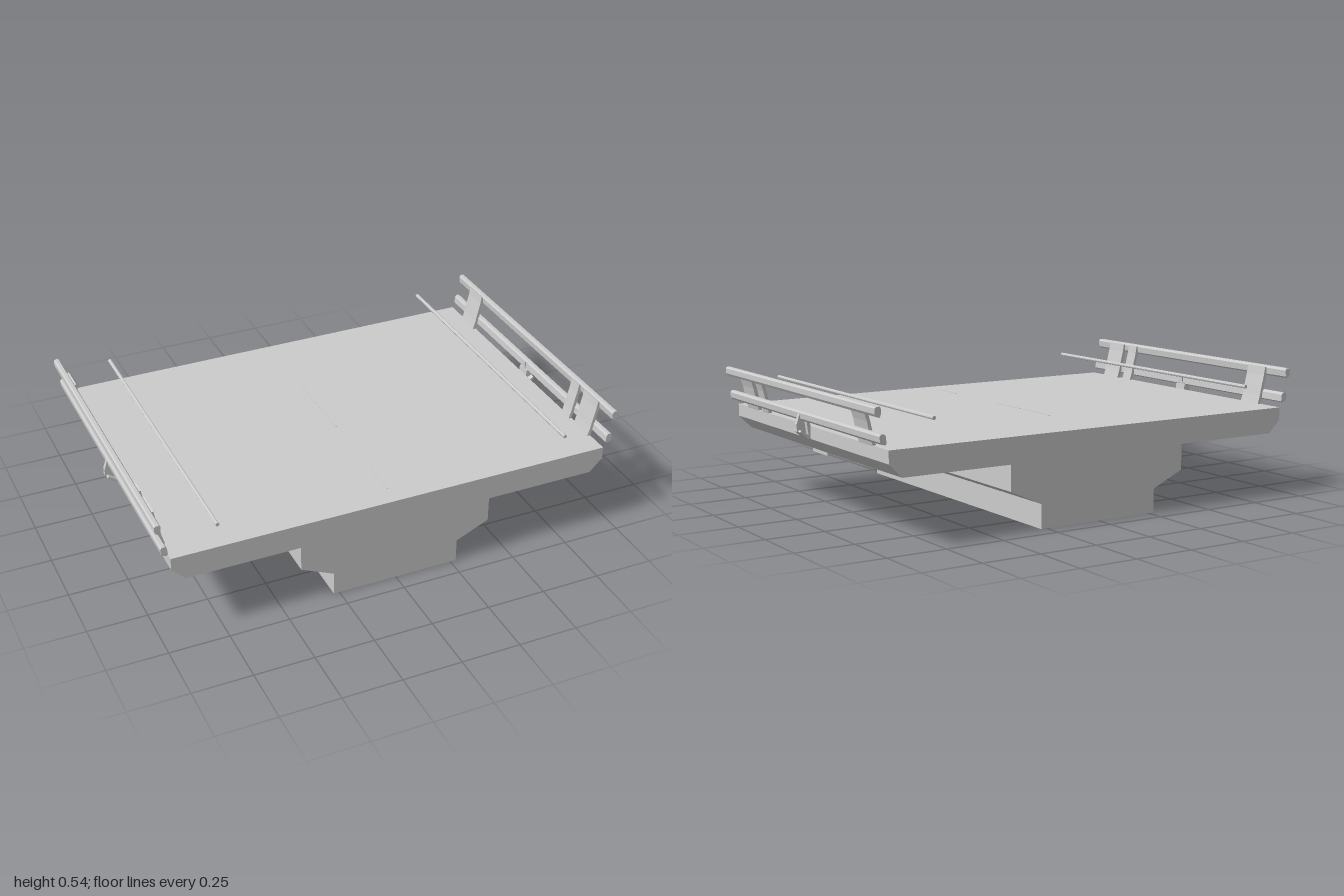
import * as THREE from 'three';

const LEN = 1.344;

export function createModel() {
  const model = new THREE.Group();
  model.name = 'bridgeSection';
  const mat = new THREE.MeshStandardMaterial({ color: 0xcccccc, flatShading: true });

  // Extrude an x/y outline along z between z0 and z1; side mirrors it.
  function prism(name, pts, z0, z1, side = 1) {
    const shape = new THREE.Shape(pts.map(([x, y]) => new THREE.Vector2(x * side, y)));
    const geo = new THREE.ExtrudeGeometry(shape, { depth: z1 - z0, bevelEnabled: false });
    geo.translate(0, 0, z0);
    const mesh = new THREE.Mesh(geo, mat);
    mesh.name = name;
    model.add(mesh);
  }

  // Deck slab with the stepped girder below, one cross-section
  const half = [[0.275, 0], [0.275, 0.1], [0.415, 0.163], [0.415, 0.27],
    [0.89, 0.27], [0.945, 0.325], [0.945, 0.377]];
  const mirrored = half.map(([x, y]) => [-x, y]).reverse();
  prism('deck', [...half, ...mirrored], -LEN / 2, LEN / 2);

  // Thin centre line dashes
  for (const [a, b] of [[-0.32, -0.13], [-0.1, 0.08], [0.42, 0.58]]) {
    prism('centreDash', [[-0.003, 0.376], [0.003, 0.376], [0.003, 0.379], [-0.003, 0.379]], a, b);
  }

  for (const side of [1, -1]) {
    // Cross rib under the deck overhang
    prism('underRib', [[0.415, 0.257], [0.89, 0.257], [0.89, 0.275], [0.415, 0.275]], -0.066, 0.066, side);

    // Long guard rails
    prism('upperRail', [[0.976, 0.506], [0.982, 0.5], [0.994, 0.505], [1, 0.514],
      [1, 0.535], [0.994, 0.541], [0.98, 0.541], [0.974, 0.532]], -LEN / 2, LEN / 2, side);
    prism('lowerRail', [[0.953, 0.402], [0.959, 0.397], [0.973, 0.4], [0.98, 0.408],
      [0.982, 0.43], [0.976, 0.438], [0.962, 0.438], [0.956, 0.43]], -LEN / 2, LEN / 2, side);

    // Curved posts leaning outwards
    const post = [[0.93, 0.374], [0.945, 0.374], [0.957, 0.42], [0.968, 0.47], [0.978, 0.5], [0.982, 0.53],
      [0.968, 0.536], [0.962, 0.5], [0.952, 0.46], [0.942, 0.415]];
    for (const [a, b] of [[-0.55, -0.44], [0.36, 0.42], [0.46, 0.57]]) {
      prism('railPost', post, a, b, side);
    }

    // Side bracket halfway along: wide base plate, sloped foot and narrow upright
    prism('bracketPlate', [[0.94, 0.33], [0.952, 0.326], [0.962, 0.4], [0.948, 0.4]], -0.03, 0.03, side);
    prism('bracketFoot', [[0.945, 0.325], [0.955, 0.325], [0.99, 0.355], [0.985, 0.362], [0.945, 0.335]], -0.03, 0.03, side);
    prism('bracketUpright', [[0.95, 0.33], [0.995, 0.355], [0.995, 0.385], [0.98, 0.432], [0.95, 0.432]], -0.009, 0.009, side);

    // Overhead cable above the deck
    const cable = new THREE.Mesh(new THREE.CylinderGeometry(0.008, 0.008, LEN, 8), mat);
    cable.name = 'cable';
    cable.rotation.x = Math.PI / 2;
    cable.position.set(0.753 * side, 0.48, 0);
    model.add(cable);
  }
  return model;
}
